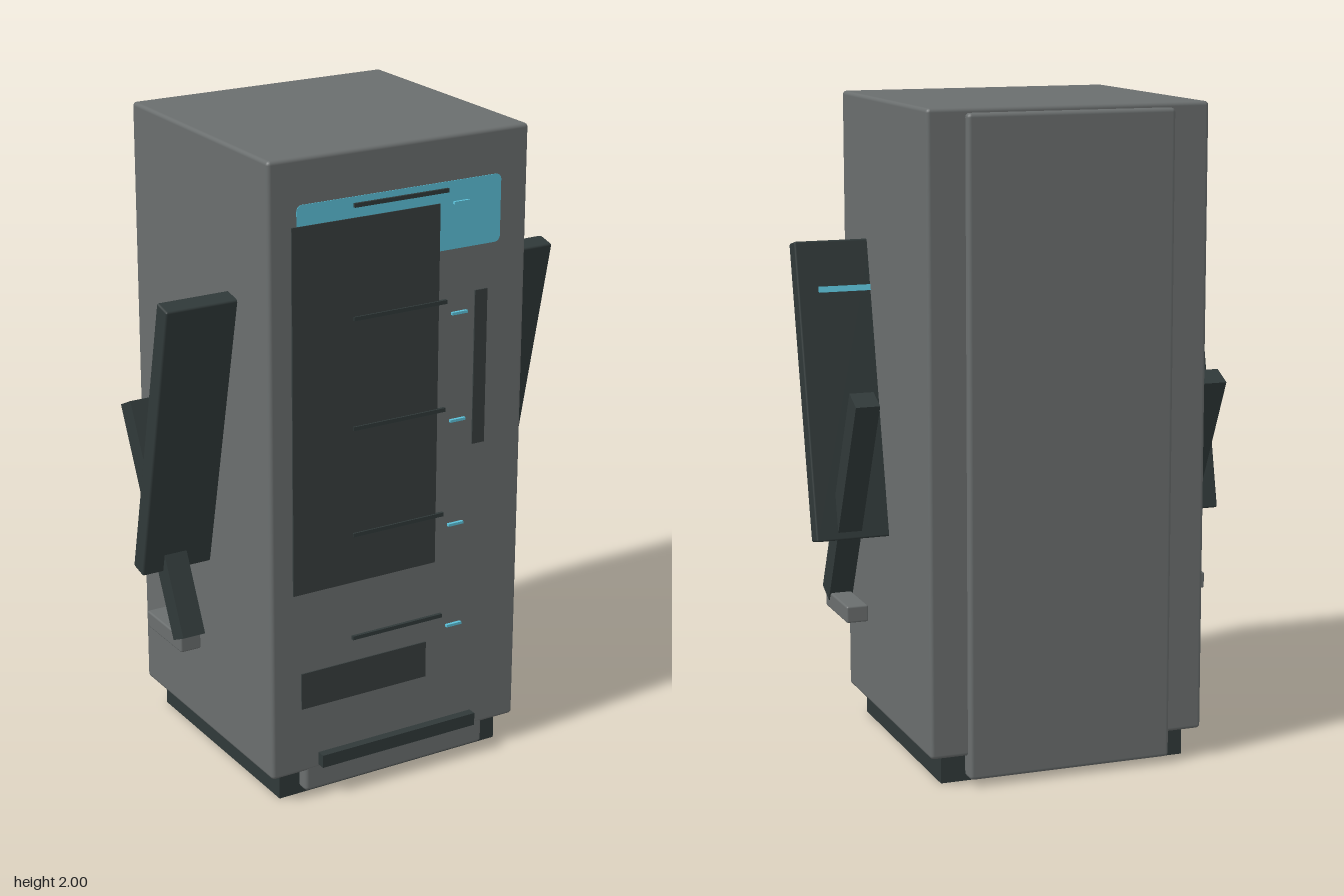
import * as THREE from 'three';
import { RoundedBoxGeometry } from 'three/addons/geometries/RoundedBoxGeometry.js';

const mat = (name, color) => Object.assign(new THREE.MeshStandardMaterial({ color }), { name });

export function createModel() {
  const model = new THREE.Group();
  model.name = 'cabinet';
  const grey = mat('casing grey', 0x6a6e6e);
  const dark = mat('dark slate', 0x303939);
  const panel = mat('panel slate', 0x373e3e);
  const blue = mat('display blue', 0x5bc0d8);

  const add = (name, geometry, material, x, y, z, parent = model) => {
    const mesh = new THREE.Mesh(geometry, material);
    mesh.name = name;
    mesh.position.set(x, y, z);
    parent.add(mesh);
    return mesh;
  };
  // Box given by its extents on each axis
  const box = (name, material, [x0, x1], [y0, y1], [z0, z1], radius = 0, parent = model) => {
    const size = [x1 - x0, y1 - y0, z1 - z0];
    const geometry = radius ? new RoundedBoxGeometry(...size, 2, radius) : new THREE.BoxGeometry(...size);
    return add(name, geometry, material, (x0 + x1) / 2, (y0 + y1) / 2, (z0 + z1) / 2, parent);
  };

  // Casing, plinth and the front and back skins that hang below the casing
  box('casing', grey, [-0.435, 0.435], [0.09, 2], [-0.415, 0.41], 0.012);
  box('plinth', dark, [-0.39, 0.39], [0, 0.12], [-0.372, 0.372]);
  box('frontSkin', grey, [-0.32, 0.32], [0.02, 1.98], [0.36, 0.409], 0.012);
  box('backSkin', grey, [-0.32, 0.32], [0.02, 1.985], [-0.438, -0.38], 0.012);

  // Display with rounded corners
  const w = 0.3425, h = 0.1025, r = 0.018;
  const outline = new THREE.Shape();
  outline.absarc(w - r, h - r, r, 0, Math.PI / 2);
  outline.absarc(-w + r, h - r, r, Math.PI / 2, Math.PI);
  outline.absarc(-w + r, -h + r, r, Math.PI, Math.PI * 1.5);
  outline.absarc(w - r, -h + r, r, Math.PI * 1.5, Math.PI * 2);
  add('display', new THREE.ExtrudeGeometry(outline, { depth: 0.004, bevelEnabled: false, curveSegments: 4 }),
    blue, -0.002, 1.762, 0.408);

  // Front details
  box('window', panel, [-0.362, 0.13], [0.682, 1.803], [0.408, 0.415]);
  box('grip', panel, [0.257, 0.3], [1.04, 1.522], [0.408, 0.414]);
  box('hatch', panel, [-0.335, 0.103], [0.305, 0.422], [0.408, 0.414]);
  box('bumper', dark, [-0.276, 0.272], [0.104, 0.145], [0.4, 0.438]);
  for (let i = 0; i < 5; i++) {
    const y = 1.84 - i * 0.335;
    box('shelfLine', dark, [-0.16, 0.156], [y - 0.006, y + 0.006], [0.41, 0.42]);
    box('indicator', blue, [0.175, 0.228], [y - 0.045, y - 0.037], [0.41, 0.42]);
  }

  // Side arms: leaning slab with a stripe behind it, crossing strut and foot
  for (const side of [1, -1]) {
    const arm = new THREE.Group();
    arm.name = side > 0 ? 'leftArm' : 'rightArm';
    model.add(arm);
    const slab = add('armSlab', new RoundedBoxGeometry(0.245, 0.908, 0.062, 1, 0.006),
      dark, side * 0.54, 1.118, 0.1, arm);
    slab.rotation.x = THREE.MathUtils.degToRad(12.6);
    add('armStripe', new THREE.BoxGeometry(0.18, 0.018, 0.006), blue, side * -0.032, 0.305, -0.032, slab);
    const strut = add('armStrut', new THREE.BoxGeometry(0.074, 0.73, 0.072),
      dark, side * 0.557, 0.81, -0.035, arm);
    strut.rotation.x = THREE.MathUtils.degToRad(-25.5);
    box('armFoot', grey, [side * 0.557 - 0.034, side * 0.557 + 0.034], [0.438, 0.49], [-0.092, 0.132], 0.006, arm);
  }
  return model;
}
